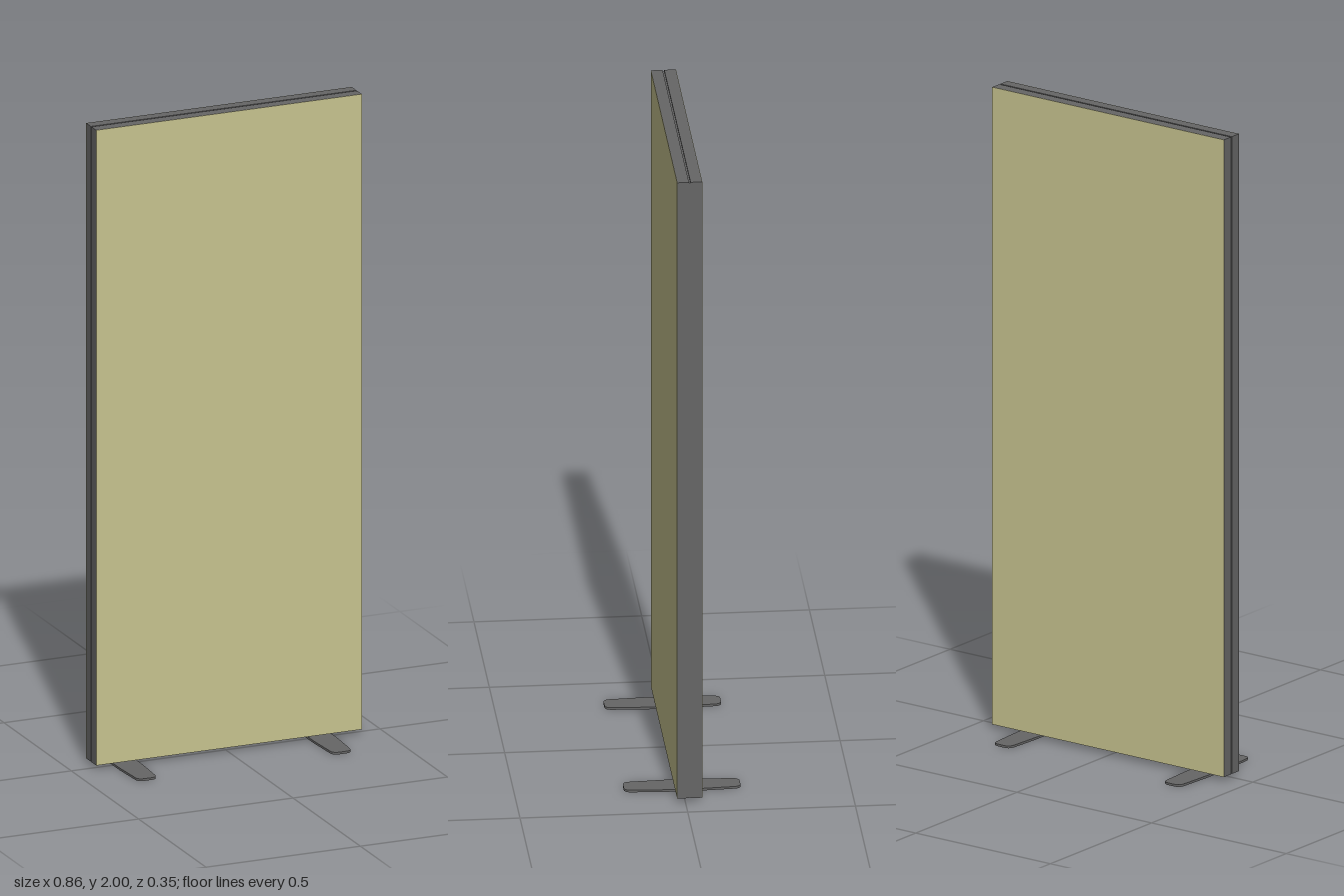
import * as THREE from 'three';

const HALF = 0.43, BOTTOM = 0.015, TOP = 2, BACK = -0.05, FRONT = 0.025;
const fabric = new THREE.MeshStandardMaterial({ color: 0xc8c490 });
const metal = new THREE.MeshStandardMaterial({ color: 0x666666 });

function box(name, material, x0, x1, y0, y1, z0, z1) {
  const mesh = new THREE.Mesh(new THREE.BoxGeometry(x1 - x0, y1 - y0, z1 - z0), material);
  mesh.position.set((x0 + x1) / 2, (y0 + y1) / 2, (z0 + z1) / 2);
  mesh.name = name;
  return mesh;
}

// Rectangular frame layer; its bottom rail sits slightly above the stile ends
function frameLayer(name, inset, z0, z1) {
  const group = new THREE.Group();
  group.name = name;
  const o = HALF - inset, i = HALF - 0.03, top = TOP - inset;
  group.add(
    box('leftStile', metal, i, o, BOTTOM, top, z0, z1),
    box('rightStile', metal, -o, -i, BOTTOM, top, z0, z1),
    box('topRail', metal, -i, i, TOP - 0.03, top, z0, z1),
    box('bottomRail', metal, -i, i, BOTTOM + 0.015 + inset, BOTTOM + 0.045, z0, z1)
  );
  return group;
}

// Flat tapered foot with rounded corners, outlined in x and z
function footGeometry() {
  const s = new THREE.Shape();
  s.moveTo(-0.038, -0.05);
  s.lineTo(-0.032, -0.155);
  s.quadraticCurveTo(-0.03, -0.174, -0.012, -0.174);
  s.lineTo(0.012, -0.174);
  s.quadraticCurveTo(0.03, -0.174, 0.032, -0.155);
  s.lineTo(0.038, -0.05);
  s.lineTo(0.038, 0.05);
  s.lineTo(0.032, 0.155);
  s.quadraticCurveTo(0.03, 0.174, 0.012, 0.174);
  s.lineTo(-0.012, 0.174);
  s.quadraticCurveTo(-0.03, 0.174, -0.032, 0.155);
  s.lineTo(-0.038, 0.05);
  s.closePath();
  return new THREE.ExtrudeGeometry(s, { depth: 0.007, bevelEnabled: false, curveSegments: 5 })
    .rotateX(-Math.PI / 2);
}

export function createModel() {
  const model = new THREE.Group();
  model.name = 'freestandingScreen';

  // Fabric faces on both sides
  const skin = 0.001;
  model.add(
    box('frontPanel', fabric, -HALF, HALF, BOTTOM, TOP, FRONT - skin, FRONT),
    box('backPanel', fabric, -HALF, HALF, BOTTOM, TOP, BACK, BACK + skin)
  );

  // Metal frame with a narrow groove running round its edge
  model.add(
    frameLayer('frontFrame', 0, -0.01, FRONT - skin),
    frameLayer('grooveCore', 0.004, -0.015, -0.01),
    frameLayer('backFrame', 0, BACK + skin, -0.015)
  );

  // Feet, each joined to the bottom rail by a short post
  const footShape = footGeometry();
  for (const [side, x] of [['right', -0.328], ['left', 0.303]]) {
    const foot = new THREE.Mesh(footShape, metal);
    foot.name = side + 'Foot';
    foot.position.x = x;
    model.add(foot, box(side + 'FootPost', metal, x - 0.015, x + 0.015, 0.005, 0.032, -0.025, 0));
  }
  return model;
}
